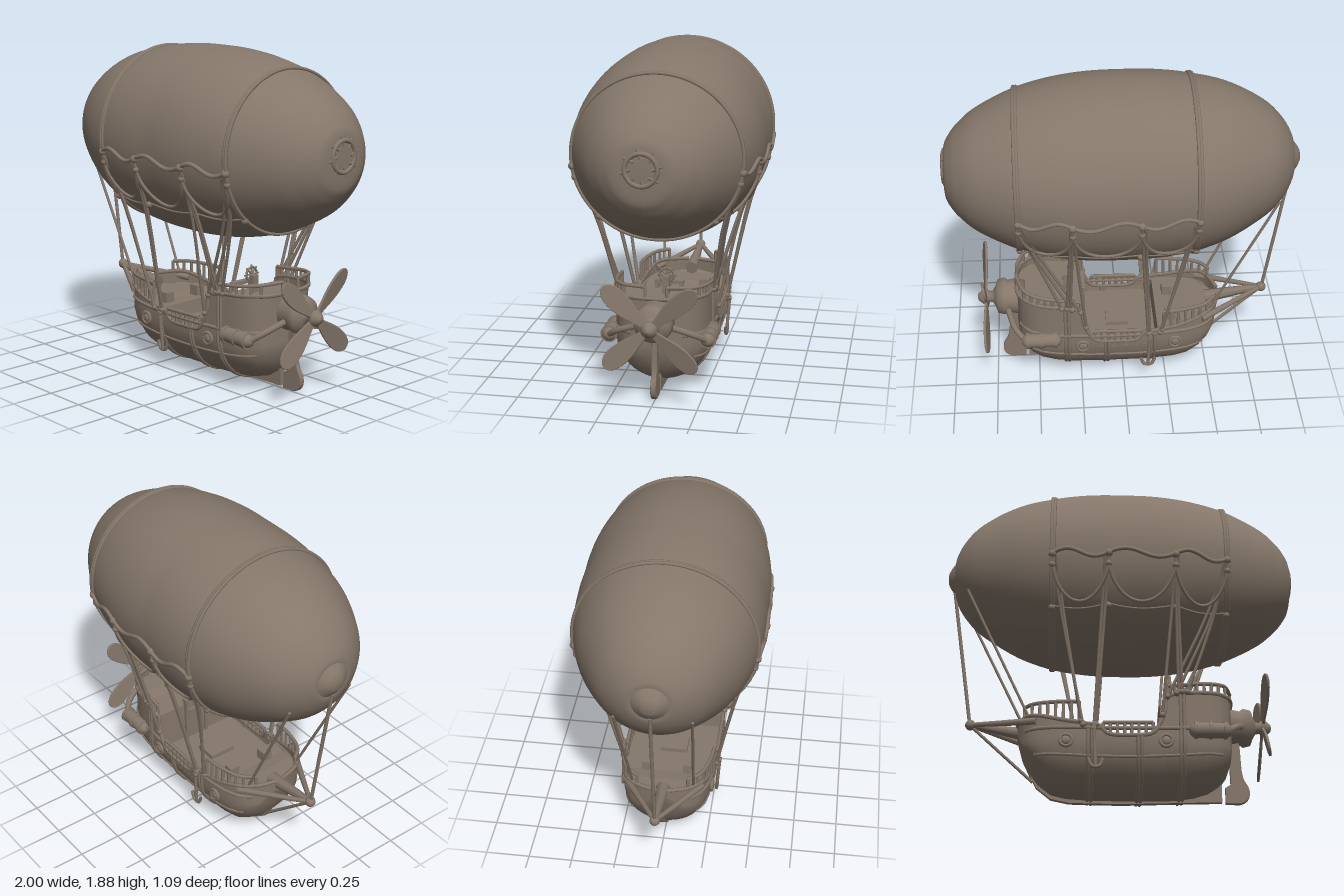
import * as THREE from 'three';

const V = (x, y, z) => new THREE.Vector3(x, y, z);
const clay = new THREE.MeshStandardMaterial({ color: 0x85776a, side: THREE.DoubleSide });
clay.name = 'brown clay';

// piecewise-linear lookup in rows sorted by their first value
function lookup(rows, x) {
  let i = 0;
  while (i < rows.length - 2 && x > rows[i + 1][0]) i++;
  const a = rows[i], b = rows[i + 1];
  const t = THREE.MathUtils.clamp((x - a[0]) / (b[0] - a[0]), 0, 1);
  return a.map((v, k) => v + (b[k] - v) * t);
}

// smooth surface through rows of points
function grid(rows) {
  const n = rows[0].length, index = [];
  for (let i = 0; i < rows.length - 1; i++) for (let j = 0; j < n - 1; j++) {
    const a = i * n + j, b = a + n;
    index.push(a, a + 1, b, b, a + 1, b + 1);
  }
  const g = new THREE.BufferGeometry().setFromPoints(rows.flat());
  g.setIndex(index);
  g.computeVertexNormals();
  return g;
}
const range = (a, b, n) => Array.from({ length: n + 1 }, (_, i) => a + (b - a) * i / n);

// envelope: x, radius
const envelopeRows = new THREE.SplineCurve([
  [-0.955, 0.09], [-0.95, 0.135], [-0.9, 0.225], [-0.8, 0.325], [-0.6, 0.437], [-0.4, 0.497], [-0.2, 0.527],
  [0, 0.535], [0.2, 0.527], [0.4, 0.497], [0.6, 0.44], [0.8, 0.345], [0.9, 0.265], [0.95, 0.205], [0.98, 0.14], [0.987, 0],
].map((p) => new THREE.Vector2(...p))).getPoints(70).map((p) => [p.x, p.y]);
// x, axis height, width factor
const envelopeShape = [[-1, 1.37, 1], [-0.7, 1.365, 1], [-0.4, 1.348, 1.005], [0, 1.345, 0.975], [0.58, 1.345, 1.035], [1, 1.345, 1]];
const envelopeRing = (x, r, n = 64) => {
  const [, axis, wide] = lookup(envelopeShape, x);
  return range(0, Math.PI * 2, n).map((a) => V(x, axis - r * Math.cos(a), r * wide * Math.sin(a)));
};
function onEnvelope(x, y, side, lift = 0.006) {
  const r = lookup(envelopeRows, x)[1], [, axis, wide] = lookup(envelopeShape, x);
  return V(x, y, side * (wide * Math.sqrt(Math.max(0, r * r - (y - axis) ** 2)) + lift));
}

// hull stations: x, keel height, rim height, half width, deck height
const stations = [
  [-0.57, 0.36, 0.44, 0.03, 0.37], [-0.54, 0.26, 0.44, 0.13, 0.36], [-0.5, 0.17, 0.44, 0.19, 0.36],
  [-0.45, 0.1, 0.43, 0.222, 0.36], [-0.38, 0.045, 0.41, 0.245, 0.36], [-0.3, 0.025, 0.39, 0.258, 0.35],
  [-0.2, 0.018, 0.375, 0.265, 0.35], [-0.19, 0.018, 0.37, 0.265, 0.27], [-0.12, 0.015, 0.36, 0.268, 0.27],
  [-0.08, 0.015, 0.315, 0.27, 0.27], [0.04, 0.015, 0.305, 0.27, 0.27], [0.17, 0.015, 0.32, 0.27, 0.27],
  [0.21, 0.017, 0.38, 0.27, 0.27], [0.235, 0.018, 0.45, 0.268, 0.27], [0.245, 0.018, 0.53, 0.268, 0.51],
  [0.3, 0.02, 0.55, 0.267, 0.51], [0.4, 0.035, 0.56, 0.262, 0.51], [0.48, 0.06, 0.565, 0.25, 0.52],
  [0.54, 0.1, 0.57, 0.22, 0.52], [0.585, 0.16, 0.57, 0.175, 0.52], [0.61, 0.23, 0.57, 0.12, 0.52],
  [0.62, 0.28, 0.57, 0.0, 0.52],
];
const waterline = (keel) => Math.max(keel + 0.03, 0.3);
function section(x, steps = 28) {
  const [, keel, top, w] = lookup(stations, x), yw = waterline(keel);
  return range(-1, 1, steps).map((v) => {
    const a = THREE.MathUtils.clamp(v / 0.7, -1, 1) * Math.PI / 2;
    const up = Math.max(0, (Math.abs(v) - 0.7) / 0.3);
    return V(x, yw - (yw - keel) * Math.cos(a) + up * (top - yw), w * Math.sin(a));
  });
}
function onHull(x, y, side, lift = 0) {
  const [, keel, , w] = lookup(stations, x), yw = waterline(keel);
  const k = Math.min(1, Math.max(0, (yw - y) / (yw - keel)));
  return V(x, y, side * (w * Math.sqrt(1 - k * k) + lift));
}

export function createModel() {
  const model = new THREE.Group();
  const add = (name, geo, pos, rot) => {
    const m = new THREE.Mesh(geo, clay);
    m.name = name;
    if (pos) m.position.set(...pos);
    if (rot) m.rotation.set(...rot);
    model.add(m);
    return m;
  };
  const rope = (name, pts, r = 0.008) => add(name, new THREE.TubeGeometry(
    new THREE.CatmullRomCurve3(pts, false, 'centripetal'), Math.max(2, (pts.length - 1) * 3), r, 7));
  const strut = (name, a, b, r0 = 0.008, r1 = r0) => {
    const d = b.clone().sub(a);
    const m = add(name, new THREE.CylinderGeometry(r1, r0, d.length(), 8), a.clone().add(b).multiplyScalar(0.5).toArray());
    m.quaternion.setFromUnitVectors(V(0, 1, 0), d.normalize());
  };
  const knot = (name, p, r = 0.022) => add(name, new THREE.SphereGeometry(r, 10, 8), p.toArray());
  const turned = (name, profile, y) => add(name,
    new THREE.LatheGeometry(profile.map((p) => new THREE.Vector2(...p)), 24), [0, y, 0], [0, 0, -Math.PI / 2]);

  // balloon with its nose cap, rear ring and bands
  add('balloon', grid(envelopeRows.map(([x, r]) => envelopeRing(x, r))));
  turned('noseCap', [[0, -1], [0.035, -0.998], [0.06, -0.985], [0.1, -0.955], [0.12, -0.94]], 1.37);
  add('rearRing', new THREE.TorusGeometry(0.085, 0.013, 8, 24), [0.984, 1.37, 0], [0, Math.PI / 2, 0]);
  for (let i = 0; i < 8; i++) {
    const a = i * Math.PI / 4;
    strut('rearLacing', V(0.985, 1.37 + 0.055 * Math.cos(a), 0.055 * Math.sin(a)),
      V(0.98, 1.37 + 0.11 * Math.cos(a + 0.2), 0.11 * Math.sin(a + 0.2)), 0.008);
  }
  for (const x of [-0.39, 0.58]) for (const d of [-0.007, 0.007])
    rope('balloonBand', envelopeRing(x + d, lookup(envelopeRows, x)[1] + 0.003, 40), 0.01);

  // hull shell, deck, keel
  add('hull', grid(stations.map(([x]) => section(x))));
  const deck = grid(stations.map(([x, , , w, d]) => [V(x, d, -w), V(x, d, 0), V(x, d, w)])).toNonIndexed();
  deck.computeVertexNormals();
  add('deck', deck);
  const keel = new THREE.Shape([[-0.5, 0.17], [-0.46, 0.09], [-0.38, 0.025], [-0.28, 0.004], [0, 0], [0.56, 0.018],
    [0.56, 0.12], [0.4, 0.06], [-0.25, 0.05], [-0.4, 0.08]].map((p) => new THREE.Vector2(...p)));
  add('keel', new THREE.ExtrudeGeometry(keel, { depth: 0.03, bevelEnabled: false }), [0, 0, -0.015]);
  for (const x of [-0.17, 0.1, 0.33]) for (const d of [-0.01, 0.01])
    rope('hullRib', section(x + d), 0.01);

  for (const s of [-1, 1]) {
    // rim and wales
    rope('rim', stations.map(([x, , top, w]) => V(x, top, s * w)), 0.012);
    rope('upperWale', range(-0.52, 0.6, 24).map((x) => onHull(x, 0.345 + 0.05 * x * x, s)), 0.011);
    rope('lowerWale', range(-0.47, 0.55, 24).map((x) => onHull(x, 0.19 + 0.12 * x * x, s)), 0.008);

    // deck rails: start, end, height at start and end, spaces
    for (const [x0, x1, y0, y1, n] of [[-0.53, -0.23, 0.505, 0.5, 7], [-0.1, 0.17, 0.375, 0.38, 7], [0.25, 0.615, 0.595, 0.635, 9]]) {
      const feet = range(x0, x1, n).map((x) => { const [, , top, w] = lookup(stations, x); return V(x, top, s * w); });
      const heads = feet.map((p, i) => V(p.x, y0 + (y1 - y0) * i / n, p.z));
      feet.forEach((p, i) => strut('railPost', p, heads[i], 0.009));
      rope('handrail', heads, 0.011);
    }

    // portholes
    for (const x of [-0.3, 0.24]) {
      const p = onHull(x, 0.275, s, 0.004);
      add('portholeFrame', new THREE.TorusGeometry(0.033, 0.01, 8, 20), p.toArray());
      add('portholeBoss', new THREE.SphereGeometry(0.026, 12, 8), p.toArray()).scale.z = 0.5;
    }

    // side engines with collars and pipe
    add('sideEngine', new THREE.CapsuleGeometry(0.042, 0.15, 6, 16), [0.48, 0.335, s * 0.275], [0, 0, Math.PI / 2]);
    for (const x of [0.4, 0.48, 0.56])
      add('engineCollar', new THREE.CylinderGeometry(0.048, 0.048, 0.018, 16), [x, 0.335, s * 0.275], [0, 0, Math.PI / 2]);
    rope('enginePipe', [V(0.58, 0.34, s * 0.27), V(0.63, 0.38, s * 0.22), V(0.67, 0.43, s * 0.1)], 0.018);

    // anchors
    strut('anchorShank', V(-0.15, 0.34, s * 0.29), V(-0.14, 0.12, s * 0.275), 0.01);
    rope('anchorFluke', [[-0.18, 0.17], [-0.16, 0.125], [-0.12, 0.125], [-0.1, 0.17]].map(([x, y]) => V(x, y, s * 0.275)), 0.01);
    strut('anchorArm', V(-0.15, 0.34, s * 0.25), V(-0.15, 0.34, s * 0.3), 0.014);

    // scalloped rope and hanging garlands on the balloon side
    const nodes = [-0.39, -0.08, 0.29, 0.58];
    for (let i = 0; i < 3; i++) {
      const a = nodes[i], b = nodes[i + 1];
      rope('sideRope', range(a, b, 8).map((x, k) => onEnvelope(x, 1.285 + 0.025 * Math.sin(k / 8 * Math.PI * 2), s)), 0.012);
      rope('garland', range(0, Math.PI, 10).map((t) => onEnvelope(a + (b - a) * (1 - Math.cos(t)) / 2, 1.25 - 0.22 * Math.sin(t), s)), 0.01);
      rope('lowerSeam', range(a, b, 8).map((x, k) => onEnvelope(x, 1.02 - 0.02 * Math.sin(k / 8 * Math.PI), s, 0.002)), 0.006);
    }
    nodes.forEach((x) => {
      knot('ropeKnot', onEnvelope(x, 1.28, s, 0.002), 0.023);
      knot('ropeKnot', onEnvelope(x, 1.22, s, 0.002), 0.02);
      knot('lowerKnot', onEnvelope(x, 1.01, s, 0.01), 0.02);
    });

    // suspension ropes: balloon x, hull x, hull y
    for (const [bx, hx, hy] of [[-0.39, -0.21, 0.36], [-0.37, -0.22, 0.38], [-0.08, -0.14, 0.36], [-0.1, -0.15, 0.36],
      [0.29, 0.22, 0.42], [0.29, 0.31, 0.56], [0.3, 0.33, 0.56], [0.58, 0.3, 0.55], [0.57, 0.36, 0.56], [0.56, 0.25, 0.53]]) {
      const end = onHull(hx, hy, s, 0.01);
      rope('suspensionRope', [onEnvelope(bx, 1.26, s, 0.008), onEnvelope(bx + (hx - bx) * 0.25, 1.02, s, 0.016), end], 0.009);
      knot('hullKnot', end, 0.017);
    }
    strut('noseStay', onEnvelope(-0.87, 1.2, s), onHull(-0.51, 0.45, s), 0.008);
    strut('bowBeam', onHull(-0.46, 0.4, s), V(-0.82, 0.455, s * 0.01), 0.02, 0.013);
  }

  // bowsprit and stays
  strut('bowsprit', V(-0.5, 0.4, 0), V(-0.85, 0.46, 0), 0.04, 0.016);
  knot('bowspritTip', V(-0.835, 0.457, 0), 0.03);
  strut('noseRope', V(-0.96, 1.28, 0), V(-0.84, 0.47, 0), 0.01);
  strut('bobstay', V(-0.82, 0.44, 0), V(-0.48, 0.125, 0), 0.009);

  // cabin door, steering wheel, hatch, crates
  add('cabinDoor', new THREE.BoxGeometry(0.02, 0.2, 0.11), [0.235, 0.37, 0]);
  for (const z of [-0.07, 0.07]) add('doorPost', new THREE.BoxGeometry(0.03, 0.28, 0.02), [0.235, 0.41, z]);
  add('doorLintel', new THREE.BoxGeometry(0.035, 0.02, 0.17), [0.235, 0.55, 0]);
  add('wheelStand', new THREE.BoxGeometry(0.03, 0.1, 0.04), [0.33, 0.56, 0]);
  add('steeringWheel', new THREE.TorusGeometry(0.04, 0.007, 6, 20), [0.31, 0.61, 0], [0, Math.PI / 2, 0]);
  for (let i = 0; i < 4; i++) add('wheelSpoke', new THREE.CylinderGeometry(0.005, 0.005, 0.11, 6), [0.31, 0.61, 0], [i * Math.PI / 4, 0, 0]);
  add('hatch', new THREE.BoxGeometry(0.13, 0.03, 0.16), [0.03, 0.28, 0]);
  for (const z of [-0.12, 0.12]) add('crate', new THREE.BoxGeometry(0.06, 0.06, 0.06), [-0.28, 0.38, z]);

  // stern engine and shaft
  turned('sternEngine', [[0, 0.57], [0.09, 0.57], [0.105, 0.62], [0.095, 0.67], [0.11, 0.69], [0.1, 0.73], [0.06, 0.745],
    [0.035, 0.76], [0.03, 0.785], [0.045, 0.79], [0.045, 0.815], [0.02, 0.845], [0, 0.85]], 0.46);

  // propeller
  const blade = new THREE.Shape();
  blade.moveTo(-0.014, 0);
  blade.bezierCurveTo(-0.02, 0.1, -0.06, 0.14, -0.055, 0.25);
  blade.bezierCurveTo(-0.05, 0.36, 0.04, 0.36, 0.05, 0.26);
  blade.bezierCurveTo(0.055, 0.15, 0.018, 0.1, 0.014, 0);
  const bladeGeo = new THREE.ExtrudeGeometry(blade, { depth: 0.006, bevelSize: 0.004, bevelThickness: 0.004, bevelSegments: 2, curveSegments: 10 });
  bladeGeo.translate(0, 0, -0.003).rotateY(Math.PI / 2 + 0.2);
  for (const a of [48, 132, 228, 312]) add('propellerBlade', bladeGeo, [0.8, 0.46, 0], [a * Math.PI / 180, 0, 0]);

  // rudder
  const rudder = new THREE.Shape();
  rudder.moveTo(0.585, 0.015);
  rudder.lineTo(0.66, 0.015);
  rudder.bezierCurveTo(0.72, 0.03, 0.72, 0.09, 0.69, 0.13);
  rudder.bezierCurveTo(0.66, 0.18, 0.67, 0.24, 0.66, 0.36);
  rudder.lineTo(0.61, 0.36);
  rudder.lineTo(0.615, 0.12);
  rudder.lineTo(0.585, 0.1);
  add('rudder', new THREE.ExtrudeGeometry(rudder, { depth: 0.02, bevelSize: 0.005, bevelThickness: 0.005, bevelSegments: 2 }), [0, 0, -0.01]);
  return model;
}
